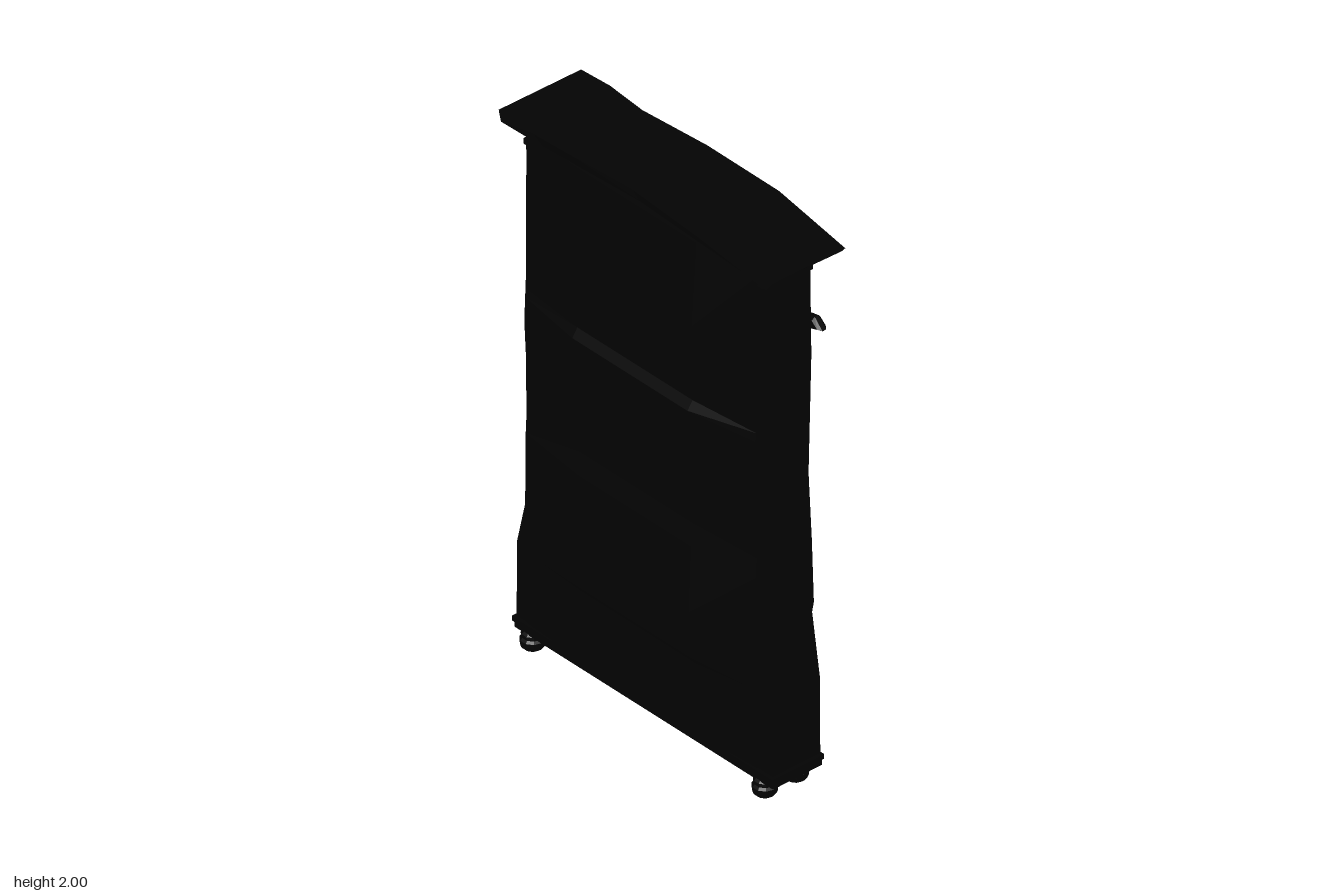
import * as THREE from 'three';

const mat = new THREE.MeshStandardMaterial({ color: 0x030303, flatShading: true, side: THREE.DoubleSide });

export function createModel() {
  const model = new THREE.Group();

  function add(name, geometry) {
    const mesh = new THREE.Mesh(geometry, mat);
    mesh.name = name;
    model.add(mesh);
    return mesh;
  }
  // Box given by its limits on each axis
  function box(name, x0, x1, y0, y1, z0, z1, segZ = 1) {
    const g = new THREE.BoxGeometry(x1 - x0, y1 - y0, z1 - z0, 1, 1, segZ);
    g.translate((x0 + x1) / 2, (y0 + y1) / 2, (z0 + z1) / 2);
    return add(name, g);
  }
  // Board outlined by (z, y) points, running in depth from x0 to x1
  function board(name, points, x0, x1, bevel = 0, hole = null) {
    const toV = ([z, y]) => new THREE.Vector2(-z, y);
    const shape = new THREE.Shape(points.map(toV));
    if (hole) shape.holes.push(new THREE.Path(hole.map(toV)));
    const g = new THREE.ExtrudeGeometry(shape, {
      depth: x1 - x0 - 2 * bevel, bevelEnabled: bevel > 0,
      bevelSize: bevel, bevelThickness: bevel, bevelOffset: -bevel, bevelSegments: 1,
    });
    g.rotateY(Math.PI / 2).translate(x0 + bevel, 0, 0);
    return add(name, g);
  }
  const rect = (z, y0, y1) => [[-z, y0], [z, y0], [z, y1], [-z, y1]];
  const toProfile = (points) => points.map(([r, h]) => new THREE.Vector2(r, h));

  // Crooked side walls
  const leftWall = [[0.585, 0.1], [0.583, 0.38], [0.548, 0.6], [0.556, 0.64], [0.547, 0.86],
    [0.532, 1.1], [0.545, 1.55], [0.543, 1.6], [0.54, 1.9]];
  const rightWall = [[-0.57, 0.1], [-0.567, 0.38], [-0.515, 0.6], [-0.515, 0.86],
    [-0.535, 1.2], [-0.522, 1.5], [-0.527, 1.9]];
  for (const [name, edge, s] of [['leftSide', leftWall, 1], ['rightSide', rightWall, -1]]) {
    board(name, [...edge, [s * 0.475, 1.9], [s * 0.475, 0.1]], -0.128, 0.066);
    // Thin trim along the opening
    box(name + 'Trim', 0.05, 0.071, 0.38, 1.7, s * 0.478 - 0.009, s * 0.478 + 0.009);
  }

  // Warped back boards, fullest in the middle
  const backX = [[0.1, -0.145], [0.36, -0.147], [0.39, -0.165], [0.56, -0.177], [0.8, -0.167],
    [0.87, -0.15], [1.1, -0.165], [1.3, -0.18], [1.33, -0.16], [1.6, -0.165], [1.9, -0.145]];
  const backG = new THREE.BoxGeometry(0.03, 1, 1.04, 1, backX.length - 1, 4);
  const bp = backG.attributes.position;
  for (let i = 0; i < bp.count; i++) {
    const row = Math.round((bp.getY(i) + 0.5) * (backX.length - 1));
    const [y, x] = backX[row];
    const bulge = Math.abs(bp.getZ(i)) > 0.5 ? 0.2 : 1;
    bp.setXYZ(i, bp.getX(i) < 0 ? -0.128 + (x + 0.128) * bulge : -0.1, y, bp.getZ(i));
  }
  add('backPanel', backG);

  // Sagging shelves
  const shelves = [[0.365, 0.012], [0.61, -0.005], [0.855, 0.012], [1.08, -0.004], [1.32, -0.006], [1.56, -0.008]];
  for (const [y, bend] of shelves) {
    const p = box('shelf', -0.12, 0.052, y - 0.014, y + 0.014, -0.48, 0.48, 6).geometry.attributes.position;
    for (let i = 0; i < p.count; i++) {
      p.setY(i, p.getY(i) + bend * Math.cos((p.getZ(i) / 0.48) * Math.PI / 2));
    }
  }

  // Base with a framed drawer
  box('plinth', -0.132, 0.066, 0.062, 0.085, -0.575, 0.592);
  box('plinthMoulding', -0.138, 0.071, 0.085, 0.102, -0.58, 0.597);
  box('baseFront', -0.11, 0.055, 0.1, 0.36, -0.48, 0.48);
  board('drawerFrame', rect(0.472, 0.16, 0.352), 0.05, 0.08, 0.01, rect(0.448, 0.184, 0.328));
  board('drawerPanel', rect(0.44, 0.192, 0.32), 0.05, 0.078, 0.01);
  const knob = new THREE.LatheGeometry(toProfile([[0.018, 0], [0.022, 0.01], [0.042, 0.016], [0.04, 0.026],
    [0.024, 0.034], [0, 0.036]]), 12);
  add('drawerKnob', knob.rotateZ(-Math.PI / 2).translate(0.062, 0.26, 0));

  // Bun feet with a collar
  const foot = toProfile([[0, 0], [0.025, 0], [0.037, 0.01], [0.041, 0.022], [0.041, 0.036], [0.034, 0.044],
    [0.037, 0.05], [0.036, 0.058], [0.028, 0.066]]);
  for (const x of [-0.105, 0.02]) {
    for (const z of [-0.523, 0.525]) {
      add('foot', new THREE.LatheGeometry(foot, 10)).position.set(x, 0, z);
    }
  }

  // Arched header above the opening
  board('header', [[0.48, 1.66], [0.22, 1.7], [0, 1.74], [-0.22, 1.7], [-0.48, 1.66],
    [-0.48, 1.91], [0, 1.93], [0.48, 1.91]], 0.015, 0.062);
  box('neckMoulding', -0.132, 0.071, 1.85, 1.87, -0.534, 0.546);
  box('topPanel', -0.128, 0.062, 1.87, 1.9, -0.527, 0.537);

  // Ribbon over the header, bowed forward in the middle, with folded pointed tails
  const band = board('ribbonBand', [[0.5, 1.655], [0.22, 1.705], [0, 1.76], [-0.22, 1.705], [-0.5, 1.655],
    [-0.5, 1.74], [-0.25, 1.785], [0, 1.83], [0.25, 1.785], [0.5, 1.74]], 0.06, 0.105, 0.014);
  const rp = band.geometry.attributes.position;
  for (let i = 0; i < rp.count; i++) {
    const flatten = 1 - 0.7 * (rp.getZ(i) / 0.5) ** 2;
    rp.setX(i, 0.06 + (rp.getX(i) - 0.06) * flatten);
  }
  for (const s of [1, -1]) {
    const dy = s > 0 ? 0 : 0.012;
    board('ribbonTail', [[0.27, 1.63], [0.46, 1.595], [0.5, 1.615], [0.585, 1.64], [0.55, 1.675],
      [0.5, 1.665], [0.46, 1.685], [0.265, 1.7]].map(([z, y]) => [s * z, y + dy]), 0.065, 0.1, 0.01);
    board('ribbonFold', [[0.44, 1.68], [0.5, 1.66], [0.515, 1.755], [0.48, 1.73]]
      .map(([z, y]) => [s * z, y]), 0.06, 0.078, 0.005);
  }

  // Peaked cornice lofted along z: [z top, z bottom, y top, y bottom, x front]
  const stations = [[-0.615, -0.56, 1.945, 1.89, 0.177], [-0.46, -0.44, 1.975, 1.891, 0.155],
    [-0.29, -0.28, 1.983, 1.9, 0.133], [0, 0, 2, 1.915, 0.137], [0.3, 0.29, 1.977, 1.9, 0.158],
    [0.62, 0.565, 1.94, 1.89, 0.139]];
  const verts = [], index = [], n = 6;
  for (const [zt, zb, yt, yb, xf] of stations) {
    const zm = zt * 0.65 + zb * 0.35;
    verts.push(-0.14, yb, zb, -0.168, yt - 0.03, zm, -0.16, yt, zt,
      xf - 0.003, yt - 0.006, zt, xf, yt - 0.028, zm, xf - 0.015, yb, zb);
  }
  for (let i = 0; i < stations.length - 1; i++) {
    for (let j = 0; j < n; j++) {
      const a = i * n + j, b = i * n + (j + 1) % n;
      index.push(a, a + n, b, b, a + n, b + n);
    }
  }
  const last = (stations.length - 1) * n;
  for (let j = 1; j < n - 1; j++) {
    index.push(0, j, j + 1, last, last + j + 1, last + j);
  }
  const cornice = new THREE.BufferGeometry();
  cornice.setAttribute('position', new THREE.Float32BufferAttribute(verts, 3));
  cornice.setIndex(index);
  cornice.computeVertexNormals();
  add('cornice', cornice);

  // Slim moulding tucked under the front of the cornice
  board('corniceMoulding', [[0.545, 1.878], [0, 1.9], [-0.535, 1.878], [-0.54, 1.895], [0, 1.925], [0.55, 1.895]],
    0.055, 0.085, 0.004);

  return model;
}
